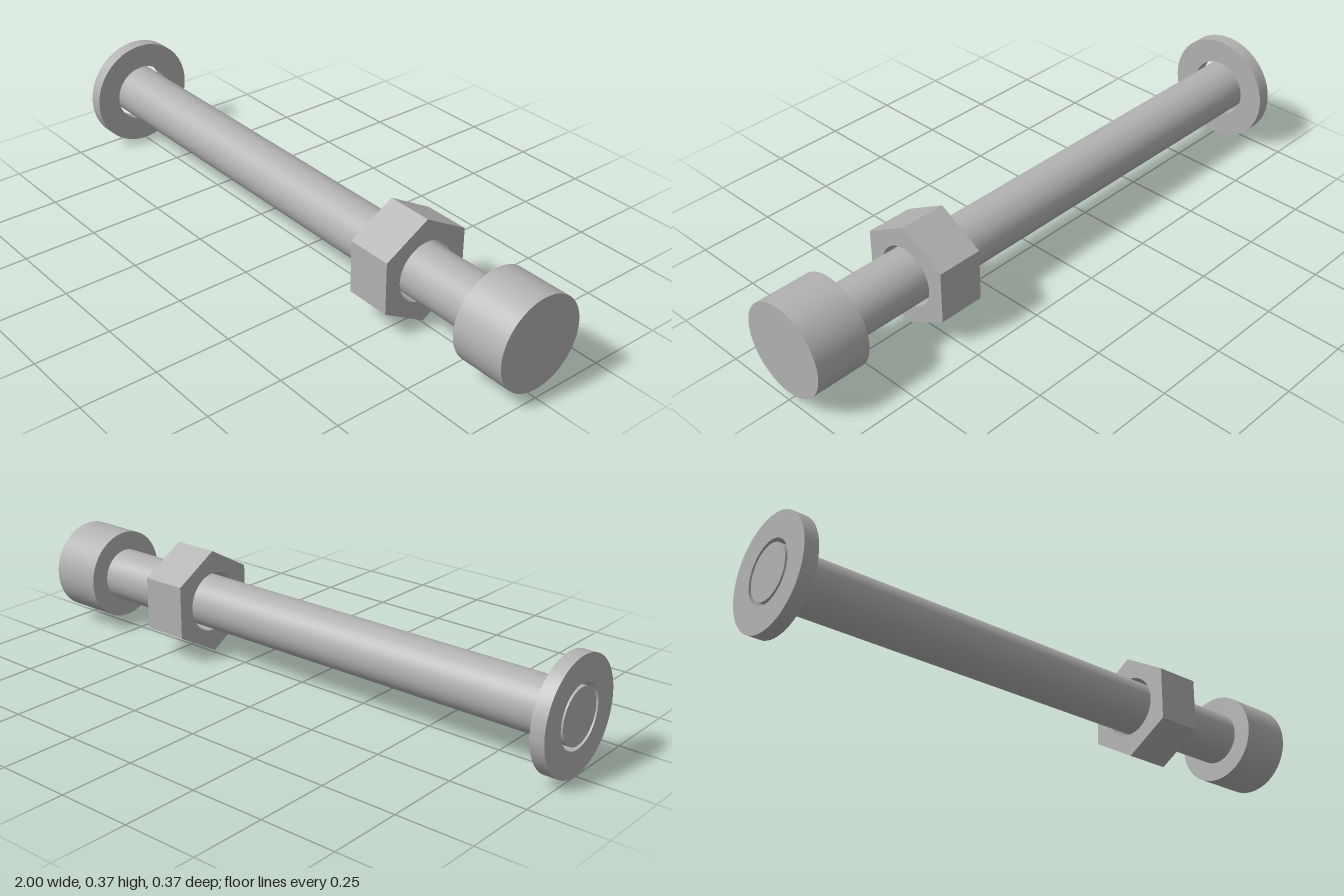
import * as THREE from 'three';
import { toCreasedNormals } from 'three/addons/utils/BufferGeometryUtils.js';

const AXIS_Y = 0.184;
const HOLE_RADIUS = 0.1;

export function createModel() {
  const steel = new THREE.MeshStandardMaterial({ color: 0xb2b2b2 });
  steel.name = 'steel';
  const bolt = new THREE.Group();
  bolt.name = 'boltAssembly';

  const add = (name, geometry) => {
    const mesh = new THREE.Mesh(geometry, steel);
    mesh.name = name;
    mesh.position.y = AXIS_Y;
    bolt.add(mesh);
  };

  // Solid round bar along x
  const rod = (name, radius, x0, x1) =>
    add(name, new THREE.CylinderGeometry(radius, radius, x1 - x0, 64)
      .rotateZ(-Math.PI / 2)
      .translate((x0 + x1) / 2, 0, 0));

  // Outline with a round clearance hole, extruded along x
  const pierced = (name, shape, x0, x1) => {
    shape.holes.push(new THREE.Path().absarc(0, 0, HOLE_RADIUS, 0, Math.PI * 2, true));
    const geometry = new THREE.ExtrudeGeometry(shape, {
      depth: x1 - x0, bevelEnabled: false, curveSegments: 64,
    });
    geometry.rotateY(Math.PI / 2).translate(x0, 0, 0);
    add(name, toCreasedNormals(geometry, Math.PI / 6));
  };

  rod('shaft', 0.088, -1, 0.82);
  rod('head', 0.152, 0.818, 1);

  // Hexagon nut, corners pointing up and down
  const hexagon = new THREE.Shape(Array.from({ length: 6 }, (_, i) => {
    const a = Math.PI / 2 + i * Math.PI / 3;
    return new THREE.Vector2(Math.cos(a) * 0.176, Math.sin(a) * 0.176);
  }));
  pierced('nut', hexagon, 0.39, 0.545);

  // Washer, flush with the end of the shaft
  pierced('washer', new THREE.Shape().absarc(0, 0, 0.183, 0, Math.PI * 2, false), -1, -0.954);

  return bolt;
}
